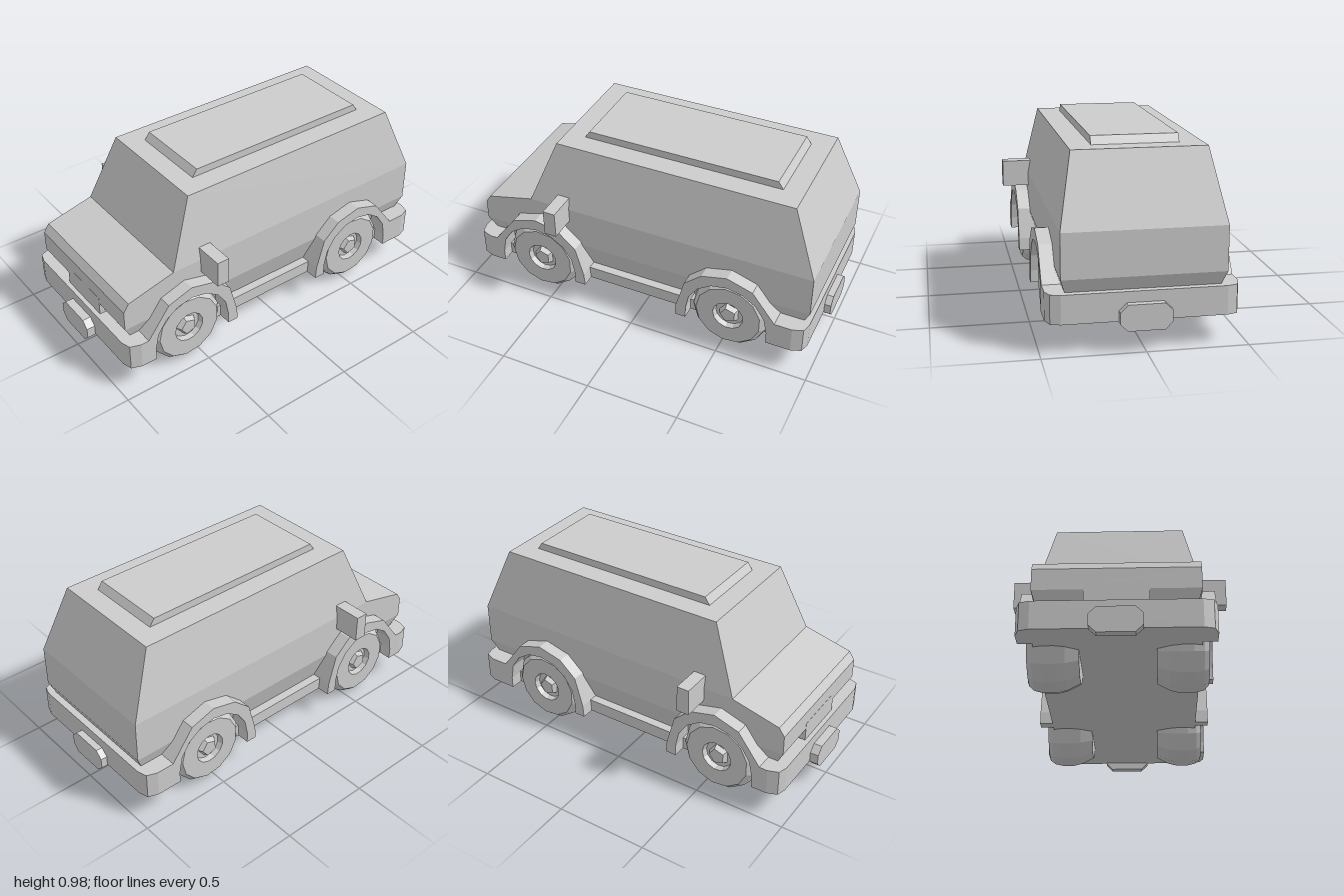
import * as THREE from 'three';
import { ConvexGeometry } from 'three/addons/geometries/ConvexGeometry.js';

const mat = new THREE.MeshStandardMaterial({ color: 0xcccccc, flatShading: true });

export function createModel() {
  const model = new THREE.Group();
  const add = (name, geometry, parent = model) => {
    const mesh = new THREE.Mesh(geometry, mat);
    mesh.name = name;
    parent.add(mesh);
    return mesh;
  };
  // Convex solid from [halfWidth, y, z] points mirrored across x
  const hull = (pts) => new ConvexGeometry(pts.flatMap(([x, y, z]) =>
    [new THREE.Vector3(x, y, z), new THREE.Vector3(-x, y, z)]));
  const extrude = (pts, depth) => new THREE.ExtrudeGeometry(
    new THREE.Shape(pts.map(([x, y]) => new THREE.Vector2(x, y))), { depth, bevelEnabled: false });

  // Lower body with bonnet
  add('lowerBody', hull([
    [0.35, 0.21, 0.85], [0.35, 0.21, -0.89],
    [0.40, 0.365, 0.93], [0.40, 0.365, -0.96],
    [0.40, 0.475, 0.93], [0.40, 0.52, 0.90],
    [0.40, 0.585, 0.635], [0.40, 0.59, -0.96],
  ]));
  // Central nose panel between the undercut corners
  const nose = add('nosePanel', new THREE.BoxGeometry(0.31, 0.12, 0.1));
  nose.position.set(0, 0.34, 0.881);

  // Cabin and raised roof panel
  add('cabin', hull([
    [0.40, 0.585, 0.635], [0.40, 0.59, -0.96],
    [0.33, 0.945, 0.49], [0.33, 0.945, -0.82],
  ]));
  add('roofPanel', hull([
    [0.215, 0.94, 0.385], [0.215, 0.94, -0.715],
    [0.215, 0.985, 0.355], [0.215, 0.985, -0.685],
  ]));

  // Floor with side sills
  const floor = add('floorAndSills', new THREE.BoxGeometry(0.8, 0.07, 1.74));
  floor.position.set(0, 0.185, 0);

  // Bumpers: chamfered plan outline
  const bumper = (name, s, inner, outer) => {
    const half = [[0.47, inner], [0.47, outer - 0.07], [0.45, outer - 0.015], [0.40, outer]];
    const pts = [...half, ...half.slice().reverse().map(([x, z]) => [-x, z])]
      .map(([x, z]) => [x, s * z]);
    add(name, extrude(pts, 0.145).rotateX(Math.PI / 2).translate(0, 0.295, 0));
  };
  bumper('frontBumper', 1, 0.8, 0.955);
  bumper('rearBumper', -1, 0.76, 0.965);

  // Eight-sided plates on both bumpers
  const plateHalf = [[0.09, 0.11], [0.127, 0.147], [0.127, 0.203], [0.09, 0.24]];
  const platePts = [...plateHalf, ...plateHalf.slice().reverse().map(([x, y]) => [-x, y])];
  add('frontPlate', extrude(platePts, 0.045).translate(0, 0, 0.955));
  add('rearPlate', extrude(platePts, 0.045).translate(0, 0, -1));

  // Wheel arch: faceted outer line, arc inner line
  const archOuter = [[-0.285, 0.15], [-0.28, 0.22], [-0.235, 0.385], [-0.14, 0.47],
    [0, 0.505], [0.14, 0.46], [0.265, 0.295], [0.265, 0.15]];
  const archInner = [[0.225, 0.15]];
  for (let i = 0; i <= 8; i++) {
    const a = (i / 8) * Math.PI;
    archInner.push([0.225 * Math.cos(a), 0.215 + 0.225 * Math.sin(a)]);
  }
  archInner.push([-0.225, 0.15]);

  // Wheel profile: [radius, distance from the car's middle]
  const wheelProfile = [[0, 0.185], [0.17, 0.185], [0.203, 0.25], [0.215, 0.30], [0.215, 0.36],
    [0.203, 0.41], [0.18, 0.435], [0.085, 0.435], [0.078, 0.405], [0, 0.405]]
    .map(([r, x]) => new THREE.Vector2(r, x));
  const wheelGeo = new THREE.LatheGeometry(wheelProfile, 13).rotateZ(-Math.PI / 2);
  const hubGeo = new THREE.CylinderGeometry(0.045, 0.06, 0.03, 5)
    .rotateZ(-Math.PI / 2).translate(0.418, 0, 0);

  for (const [end, s, z] of [['front', 1, 0.575], ['rear', -1, -0.535]]) {
    for (const [side, m] of [['Left', 1], ['Right', -1]]) {
      const pts = [...archOuter, ...archInner].map(([t, y]) => [z + s * t, y]);
      add(`${end}${side}Arch`, extrude(pts, 0.13).rotateY(-Math.PI / 2)
        .translate(m > 0 ? 0.47 : -0.34, 0, 0));

      const wheel = new THREE.Group();
      wheel.name = `${end}${side}Wheel`;
      add('tyre', wheelGeo, wheel);
      add('hub', hubGeo, wheel);
      wheel.position.set(0, 0.217, z);
      if (m < 0) wheel.rotation.y = Math.PI;
      model.add(wheel);
    }
  }

  // Door mirrors
  for (const [side, m] of [['left', 1], ['right', -1]]) {
    const mirror = add(`${side}Mirror`, new THREE.BoxGeometry(0.16, 0.145, 0.068));
    mirror.position.set(m * 0.465, 0.583, 0.437);
  }
  return model;
}
